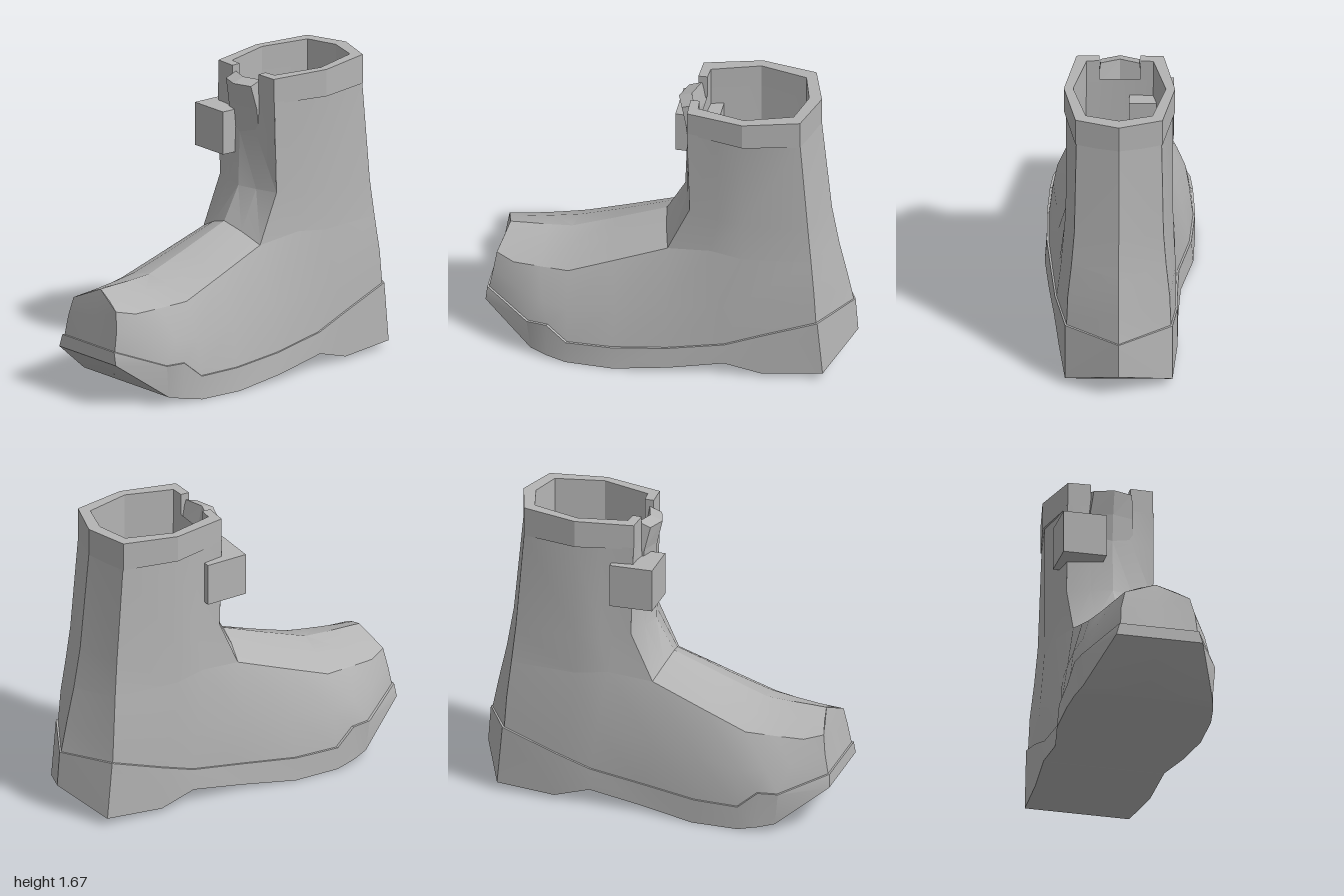
import * as THREE from 'three';
import { toCreasedNormals } from 'three/addons/utils/BufferGeometryUtils.js';

const grey = new THREE.MeshStandardMaterial({ color: 0xb4b4b4, side: THREE.DoubleSide });
grey.name = 'boot grey';

// Slight left-right asymmetry of the foot: the waist bows towards +x.
const skew = (y, z) => 0.03 * THREE.MathUtils.clamp((0.9 - y) / 0.7, 0, 1) * Math.exp(-((z + 0.1) ** 2) / 0.12);

// Skins rows of [x, y, z] points given for the +x half and mirrors them to -x.
function halfLoft(rows, crease = 0.45) {
  const pos = [];
  const put = (p, s) => pos.push(p[0] * s + skew(p[1], p[2]), p[1], p[2]);
  for (const s of [1, -1]) {
    for (let i = 0; i < rows.length - 1; i++) {
      for (let j = 0; j < rows[i].length - 1; j++) {
        const a = rows[i][j], b = rows[i][j + 1], c = rows[i + 1][j + 1], d = rows[i + 1][j];
        const order = s > 0 ? [a, b, c, a, c, d] : [a, c, b, a, d, c];
        order.forEach((p) => put(p, s));
      }
    }
  }
  const g = new THREE.BufferGeometry();
  g.setAttribute('position', new THREE.Float32BufferAttribute(pos, 3));
  return toCreasedNormals(g, crease);
}

export function createModel() {
  const boot = new THREE.Group();
  boot.name = 'boot';
  const add = (name, geometry) => {
    const mesh = new THREE.Mesh(geometry, grey);
    mesh.name = name;
    boot.add(mesh);
    return mesh;
  };

  // Rows run from the toe centre, round the side, to the heel centre.
  const ground = [
    [0, 0.24, 1], [0.24, 0.24, 1], [0.36, 0.04, 0.73], [0.385, 0.02, 0.64], [0.4, 0, 0.53], [0.4, 0, 0.27],
    [0.355, 0.03, -0.03], [0.335, 0.08, -0.33], [0.32, 0.02, -0.53], [0.29, 0.04, -0.86], [0, 0.15, -1],
  ];
  const welt = [
    [0, 0.31, 0.995], [0.22, 0.31, 0.995], [0.37, 0.22, 0.75], [0.385, 0.22, 0.64], [0.4, 0.13, 0.53], [0.39, 0.13, 0.28],
    [0.345, 0.15, -0.02], [0.33, 0.2, -0.33], [0.32, 0.27, -0.53], [0.29, 0.37, -0.83], [0, 0.35, -0.985],
  ];
  const weltInner = welt.map(([x, y, z]) => [x * 0.97, y, z * 0.99]);
  const middle = [
    [0, 0.45, 0.95], [0.205, 0.42, 0.965], [0.3, 0.37, 0.8], [0.345, 0.35, 0.67], [0.365, 0.33, 0.53], [0.34, 0.37, 0.27],
    [0.315, 0.41, 0], [0.31, 0.42, -0.3], [0.31, 0.5, -0.45], [0.275, 0.55, -0.81], [0, 0.52, -0.94],
  ];
  const shoulder = [
    [0, 0.6, 0.91], [0.18, 0.52, 0.95], [0.225, 0.5, 0.85], [0.25, 0.51, 0.7], [0.28, 0.525, 0.54], [0.262, 0.615, 0.3],
    [0.24, 0.73, 0], [0.275, 0.77, -0.24], [0.293, 0.75, -0.42], [0.255, 0.75, -0.79], [0, 0.72, -0.895],
  ];

  // Sole: underside and side wall with a narrow ledge
  add('soleUnderside', halfLoft([ground.map(([, y, z]) => [0, y, z]), ground]));
  add('soleWall', halfLoft([ground, welt, weltInner]));

  // Foot sides and toe front
  add('footUpper', halfLoft([weltInner, middle, shoulder]));

  // Shaft sides and back, rising from the shoulder line
  const ankle = [[0.24, 1, -0.12], [0.265, 0.97, -0.28], [0.288, 0.97, -0.42], [0.24, 0.95, -0.77], [0, 0.95, -0.855]];
  const shaftTop = [[0.24, 1.51, -0.105], [0.262, 1.51, -0.28], [0.288, 1.51, -0.42], [0.23, 1.51, -0.725], [0, 1.51, -0.8]];
  add('shaft', halfLoft([shoulder.slice(6), ankle, shaftTop]));

  // Instep and shaft front: edge, panel line and centre ridge, from toe to collar
  const edge = [...shoulder.slice(1, 7), [0.24, 1, -0.12], [0.24, 1.3, -0.11], [0.24, 1.51, -0.105]];
  const panel = [
    [0.1, 0.56, 0.93], [0.11, 0.565, 0.84], [0.13, 0.575, 0.7], [0.15, 0.59, 0.55], [0.14, 0.67, 0.32],
    [0.12, 0.785, 0.03], [0.115, 1, -0.08], [0.115, 1.3, -0.085], [0.115, 1.51, -0.1],
  ];
  const ridge = [
    [0, 0.6, 0.91], [0, 0.605, 0.82], [0, 0.61, 0.7], [0, 0.62, 0.57], [0, 0.71, 0.33],
    [0, 0.82, 0.05], [0, 1, -0.05], [0, 1.3, -0.06], [0, 1.51, -0.1],
  ];
  add('instep', halfLoft([edge, panel, ridge]));

  // Collar: eight-sided band, open at the front, rising slightly to the back
  const outer = [[0.11, -0.1], [0.235, -0.105], [0.3, -0.42], [0.235, -0.725], [0, -0.8]];
  const inner = [[0.11, -0.15], [0.18, -0.155], [0.25, -0.42], [0.18, -0.68], [0, -0.73]];
  const flip = (list) => list.slice(0, -1).reverse().map(([x, z]) => [-x, z]);
  const outline = [...outer, ...flip(outer), ...flip(inner).reverse(), ...[...inner].reverse()];
  const collarShape = new THREE.Shape(outline.map(([x, z]) => new THREE.Vector2(x, -z)));
  const collar = new THREE.ExtrudeGeometry(collarShape, { depth: 0.14, bevelEnabled: false });
  collar.rotateX(-Math.PI / 2).translate(0, 1.5, 0);
  const cp = collar.attributes.position;
  for (let i = 0; i < cp.count; i++) {
    if (cp.getY(i) > 1.6) cp.setY(i, 1.64 + 0.036 * (-cp.getZ(i) - 0.1));
  }
  collar.computeVertexNormals();
  add('collar', collar);

  // Inner lining and insole
  const ring = [[0, -0.15], ...inner];
  const at = (y, k = 1) => ring.map(([x, z]) => [x * k, y, z]);
  add('lining', halfLoft([at(1.52), at(0.5), at(0.5, 0)]));

  // Tongue: slab leaning forward in the collar gap, bent about its centre
  const tongueShape = new THREE.Shape([
    new THREE.Vector2(0.11, 1.3), new THREE.Vector2(0.06, 1.3), new THREE.Vector2(0.045, 1.45),
    new THREE.Vector2(0.015, 1.58), new THREE.Vector2(0.085, 1.605), new THREE.Vector2(0.11, 1.48),
  ]);
  const tongue = new THREE.ExtrudeGeometry(tongueShape, { depth: 0.24, steps: 2, bevelEnabled: false });
  tongue.translate(0, 0, -0.12).rotateY(Math.PI / 2);
  const tp = tongue.attributes.position;
  for (let i = 0; i < tp.count; i++) {
    const x = tp.getX(i);
    tp.setZ(i, tp.getZ(i) - 0.3 * Math.abs(x));
    if (tp.getY(i) > 1.5) tp.setX(i, x * 0.88);
  }
  tongue.computeVertexNormals();
  add('tongue', tongue);

  // Square block on the right of the shaft front
  add('buckleBlock', new THREE.BoxGeometry(0.24, 0.24, 0.24)).position.set(-0.17, 1.293, -0.105);

  return boot;
}
